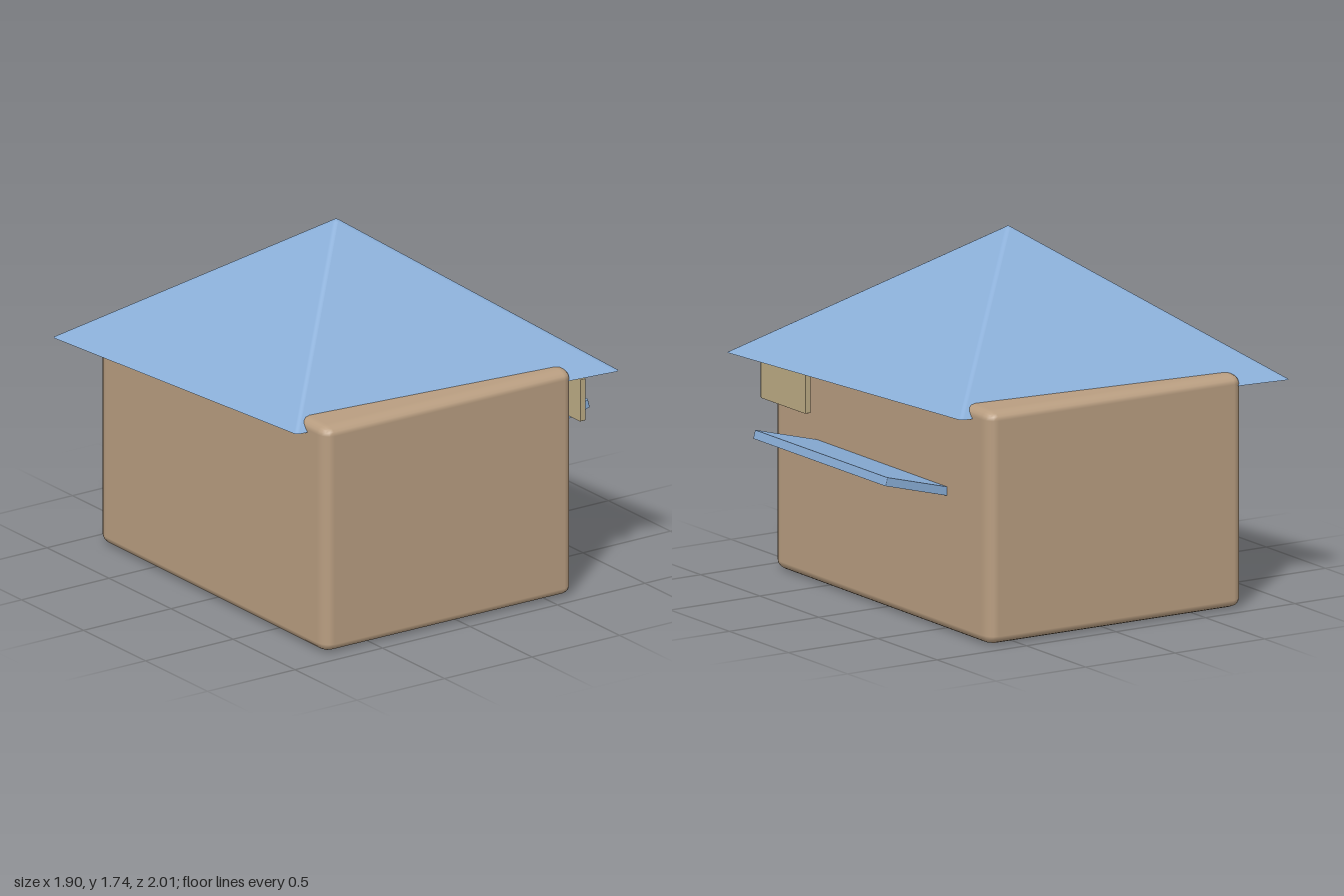
import * as THREE from 'three';
import { RoundedBoxGeometry } from 'three/addons/geometries/RoundedBoxGeometry.js';

const paint = (color) => new THREE.MeshStandardMaterial({ color });
const wallPaint = paint(0xb89d80);
const roofPaint = paint(0x89add6);
const signPaint = paint(0xbcab84);

// Unit box with softened edges, stretched to size
function softBox(name, material, size, position, bevel) {
  const mesh = new THREE.Mesh(new RoundedBoxGeometry(1, 1, 1, 2, bevel), material);
  mesh.name = name;
  mesh.scale.set(...size);
  mesh.position.set(...position);
  return mesh;
}

// Skewed four-sided pyramid whose ridges and tip are rounded by radius r
function pyramidRoof(longHalf, shortHalf, height, r) {
  const steps = 4;
  const splay = Math.atan2(longHalf, shortHalf);
  const base = [], crown = [];
  for (let c = 0; c < 4; c++) {
    const axis = -Math.PI / 4 + c * Math.PI / 2;
    const reach = (c % 2 ? shortHalf : longHalf) - r;
    const half = c % 2 ? Math.PI / 2 - splay : splay;
    for (let s = 0; s <= steps; s++) {
      const a = axis + half * (2 * s / steps - 1);
      const x = r * Math.cos(a), z = r * Math.sin(a);
      base.push([x + reach * Math.cos(axis), 0, z + reach * Math.sin(axis)]);
      crown.push([x, height - 0.012, z]);
    }
  }
  const n = base.length;
  // Rings: slope base, crown, then a separate ring for the flat underside
  const points = [...base, ...crown, ...base, [0, height, 0], [0, 0, 0]];
  const tip = 3 * n, middle = 3 * n + 1;
  const index = [];
  for (let i = 0; i < n; i++) {
    const j = (i + 1) % n;
    index.push(i, n + i, j, j, n + i, n + j);
    index.push(n + i, tip, n + j);
    index.push(middle, 2 * n + i, 2 * n + j);
  }
  const geometry = new THREE.BufferGeometry();
  geometry.setAttribute('position', new THREE.Float32BufferAttribute(points.flat(), 3));
  geometry.setIndex(index);
  geometry.computeVertexNormals();
  return geometry;
}

export function createModel() {
  const group = new THREE.Group();
  group.name = 'house';

  // Walls, turned very slightly
  const walls = softBox('walls', wallPaint, [1.86, 1.12, 1.415], [0, 0.56, 0.058], 0.038);
  walls.rotation.y = -0.008;
  group.add(walls);

  // Roof
  const roof = new THREE.Mesh(pyramidRoof(1.335, 1.09, 0.675, 0.02), roofPaint);
  roof.name = 'roof';
  roof.position.set(0, 1.065, 0.057);
  group.add(roof);

  // Awning rising outward from the back wall
  const awning = softBox('awning', roofPaint, [1.12, 0.042, 0.42], [0, 0.71, -0.792], 0.012);
  awning.rotation.x = 0.262;
  group.add(awning);

  // Hanging sign under the back eave
  group.add(softBox('sign', signPaint, [0.38, 0.21, 0.028], [0.705, 0.94, -0.72], 0.015));

  return group;
}
